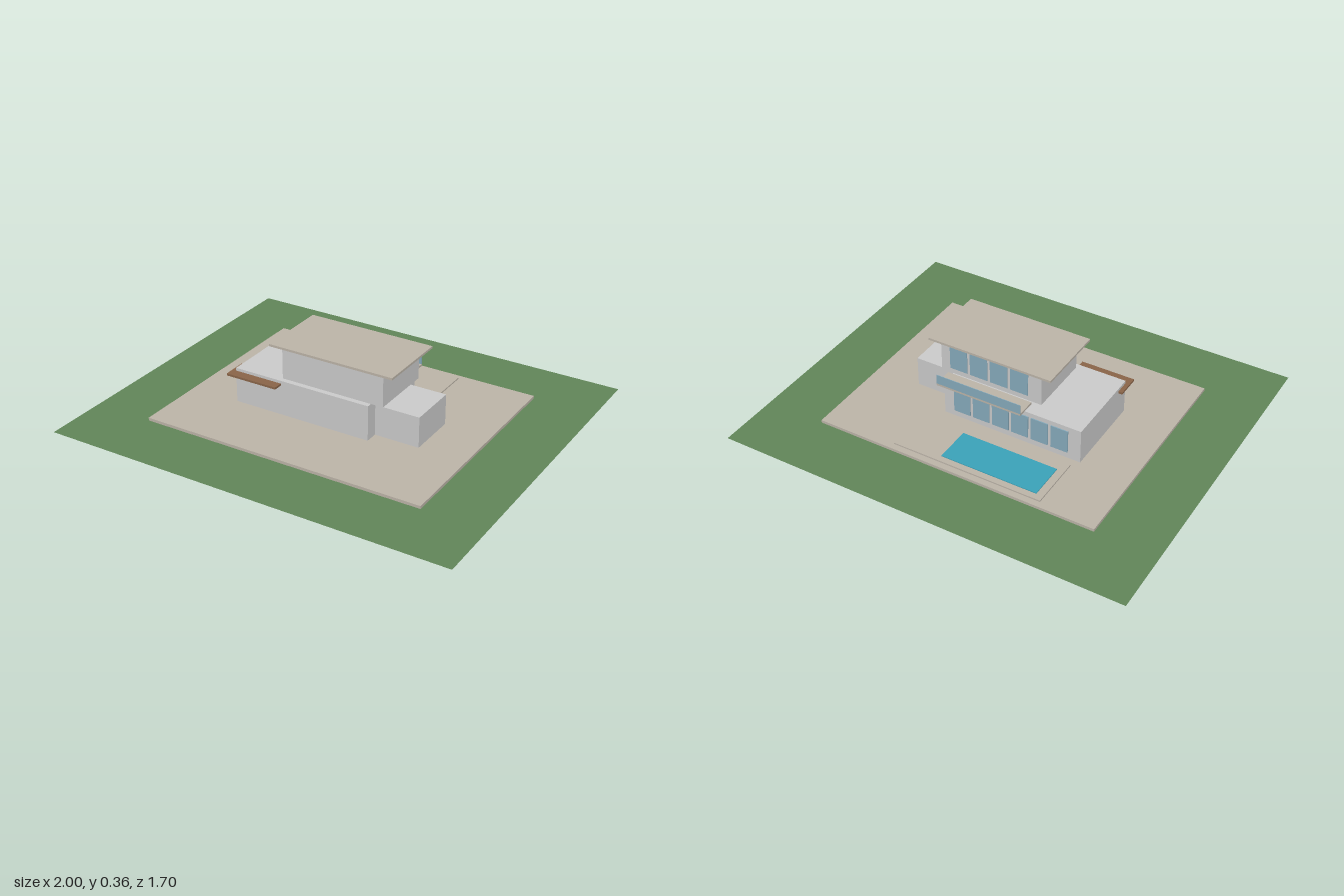
import * as THREE from 'three';

const material = (color) => new THREE.MeshStandardMaterial({ color });

export function createModel() {
  const house = new THREE.Group();
  house.name = 'house';

  const wall = material(0xcccccc);
  const stone = material(0xbdb5a9);
  const glass = material(0x86aabb);
  const wood = material(0x8a6549);
  const water = material(0x3ba3ba);
  const grass = material(0x628659);
  grass.side = THREE.DoubleSide;

  // Box given by its extents along each axis
  function block(name, mat, [x0, x1], [y0, y1], [z0, z1], parent = house) {
    const mesh = new THREE.Mesh(new THREE.BoxGeometry(x1 - x0, y1 - y0, z1 - z0), mat);
    mesh.position.set((x0 + x1) / 2, (y0 + y1) / 2, (z0 + z1) / 2);
    mesh.name = name;
    parent.add(mesh);
    return mesh;
  }

  // Row of equal panes standing just proud of a rear wall
  function windowRow(name, count, centerX, pitch, paneWidth, ys, zs) {
    const row = new THREE.Group();
    row.name = name;
    for (let i = 0; i < count; i++) {
      const x = centerX + (i - (count - 1) / 2) * pitch;
      block('windowPane', glass, [x - paneWidth / 2, x + paneWidth / 2], ys, zs, row);
    }
    house.add(row);
  }

  // Lawn and paved terrace
  const lawn = new THREE.Mesh(new THREE.PlaneGeometry(2, 1.7), grass);
  lawn.rotation.x = -Math.PI / 2;
  lawn.name = 'lawn';
  house.add(lawn);
  block('terrace', stone, [-0.7, 0.7], [0.004, 0.018], [-0.55, 0.55]);

  // Pool and its surround
  block('poolDeck', stone, [-0.425, 0.322], [0.018, 0.025], [-0.52, -0.25]);
  block('poolWater', water, [-0.39, 0.09], [0.025, 0.029], [-0.49, -0.31]);

  // Building volumes
  block('groundFloor', wall, [-0.45, 0.25], [0.018, 0.19], [-0.21, 0.21]);
  block('sideWing', wall, [0.25, 0.47], [0.018, 0.168], [-0.1, 0.147]);
  block('upperFloor', wall, [-0.21, 0.31], [0.19, 0.346], [-0.135, 0.185]);
  block('roof', stone, [-0.265, 0.365], [0.346, 0.357], [-0.155, 0.206]);

  // Wooden entrance canopy
  block('entranceCanopy', wood, [-0.47, -0.205], [0.166, 0.176], [0.14, 0.256]);

  // Rear balcony with a glass balustrade
  block('balconyFloor', stone, [-0.169, 0.265], [0.19, 0.2], [-0.249, -0.152]);
  block('balconyRailing', glass, [-0.169, 0.265], [0.2, 0.247], [-0.249, -0.246]);

  // Rear glazing
  windowRow('groundFloorWindows', 6, -0.095, 0.1, 0.085, [0.05, 0.167], [-0.215, -0.209]);
  windowRow('upperFloorWindows', 4, 0.06, 0.105, 0.09, [0.217, 0.335], [-0.139, -0.134]);

  return house;
}
